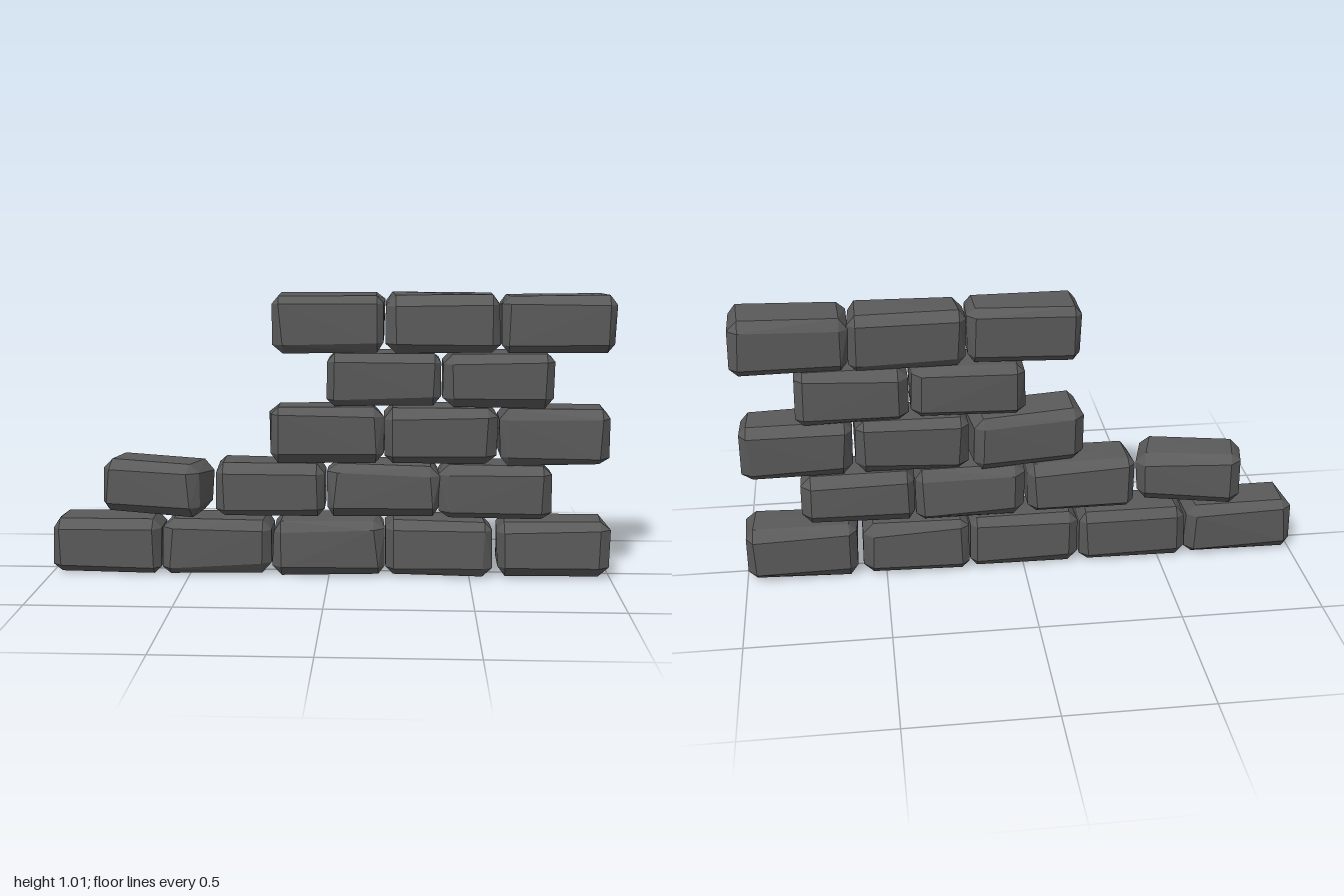
import * as THREE from 'three';
import { ConvexGeometry } from 'three/addons/geometries/ConvexGeometry.js';

// Small seeded generator for the hand-cut irregularity
function seeded(seed) {
  let s = seed;
  return () => {
    s = (s * 16807) % 2147483647;
    return s / 2147483647;
  };
}

// Block with chamfered edges; each corner has its own slightly different cut
function brickGeometry(w, h, d, rand) {
  const points = [];
  const cut = () => 0.022 + rand() * 0.018;
  for (const sx of [-1, 1]) for (const sy of [-1, 1]) for (const sz of [-1, 1]) {
    const x = w / 2 - rand() * 0.008;
    const y = h / 2 - rand() * 0.008;
    const z = d / 2 - rand() * 0.008;
    const bx = cut(), by = cut(), bz = cut();
    points.push(
      new THREE.Vector3(sx * x, sy * (y - by), sz * (z - bz)),
      new THREE.Vector3(sx * (x - bx), sy * y, sz * (z - bz)),
      new THREE.Vector3(sx * (x - bx), sy * (y - by), sz * z)
    );
  }
  return new ConvexGeometry(points);
}

// Courses from the ground up: y range, then bricks as [x start, x end, yaw, tilt]
const courses = [
  { y: [0, 0.206], bricks: [[-1, -0.598], [-0.6, -0.203], [-0.205, 0.2], [0.195, 0.587], [0.595, 1, 0, 0.01]] },
  { y: [0.212, 0.41], bricks: [[-0.81, -0.43, -0.25, -0.015], [-0.405, -0.01], [-0.008, 0.393], [0.383, 0.793]] },
  { y: [0.405, 0.612], bricks: [[-0.215, 0.19, 0.11], [0.19, 0.597, 0, 0.01], [0.597, 0.993]] },
  { y: [0.609, 0.806], bricks: [[-0.01, 0.393, 0, 0.01], [0.393, 0.793]] },
  { y: [0.8, 1.008], bricks: [[-0.205, 0.197, 0, 0.01], [0.192, 0.6], [0.595, 1, 0, 0.01]] },
];

export function createModel() {
  const wall = new THREE.Group();
  wall.name = 'brickWall';
  const stone = new THREE.MeshStandardMaterial({ color: 0x5a5a5a, flatShading: true });
  stone.name = 'darkStone';
  const rand = seeded(4217);

  courses.forEach(({ y: [y0, y1], bricks }, row) => {
    const course = new THREE.Group();
    course.name = `course${row + 1}`;
    bricks.forEach(([x0, x1, yaw = 0, tilt = 0], i) => {
      const brick = new THREE.Mesh(brickGeometry(x1 - x0, y1 - y0, 0.212, rand), stone);
      brick.name = `brick${row + 1}_${i + 1}`;
      brick.position.set((x0 + x1) / 2, (y0 + y1) / 2, 0);
      brick.rotation.set(0, yaw, tilt);
      course.add(brick);
    });
    wall.add(course);
  });
  return wall;
}
